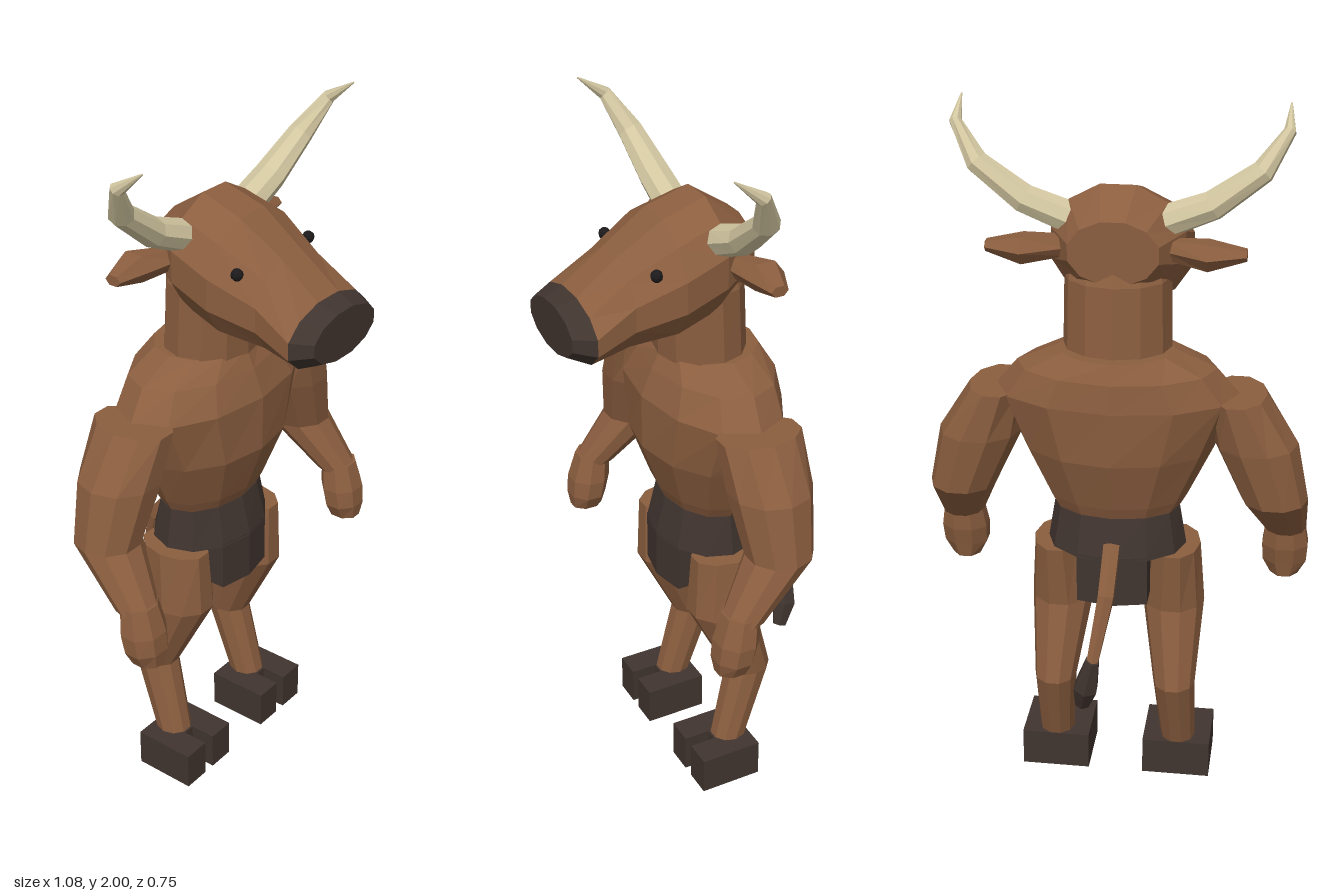
import * as THREE from 'three';

const paint = (name, color) => {
  const m = new THREE.MeshStandardMaterial({ color, flatShading: true });
  m.name = name;
  return m;
};

// Closed skin through rings [x, y, z, r1, r2]. Rings face `axis`, or follow the path when it is null.
// r1 lies along ref x axis, r2 across it; `flat` turns the ring so a face, not a corner, points up.
function loft(rings, sides, ref, axis = null, flat = false) {
  const pos = [], idx = [], n = rings.length;
  const centers = rings.map((r) => new THREE.Vector3(r[0], r[1], r[2]));
  const grow = flat ? 1 / Math.cos(Math.PI / sides) : 1;
  rings.forEach(([, , , r1, r2 = r1], i) => {
    const t = axis ? axis.clone()
      : centers[Math.min(i + 1, n - 1)].clone().sub(centers[Math.max(i - 1, 0)]).normalize();
    const u = ref.clone().cross(t).normalize();
    const v = t.clone().cross(u);
    for (let j = 0; j < sides; j++) {
      const a = ((j + (flat ? 0.5 : 0)) / sides) * Math.PI * 2;
      const p = centers[i].clone()
        .addScaledVector(u, Math.cos(a) * r1 * grow)
        .addScaledVector(v, Math.sin(a) * r2 * grow);
      pos.push(p.x, p.y, p.z);
    }
  });
  for (let i = 0; i < n - 1; i++) {
    for (let j = 0; j < sides; j++) {
      const a = i * sides + j, b = i * sides + ((j + 1) % sides);
      idx.push(a, b, b + sides, a, b + sides, a + sides);
    }
  }
  const last = (n - 1) * sides;
  for (let j = 1; j < sides - 1; j++) idx.push(0, j + 1, j, last, last + j, last + j + 1);
  const g = new THREE.BufferGeometry();
  g.setAttribute('position', new THREE.Float32BufferAttribute(pos, 3));
  g.setIndex(idx);
  const out = g.toNonIndexed();
  out.computeVertexNormals();
  return out;
}

// Upright prism from [x, z] outline points, standing on y = 0
function prism(points, height) {
  const shape = new THREE.Shape(points.map(([x, z]) => new THREE.Vector2(x, -z)));
  return new THREE.ExtrudeGeometry(shape, { depth: height, bevelEnabled: false }).rotateX(-Math.PI / 2);
}

export function createModel() {
  const fur = paint('brown fur', 0x8b5e3f);
  const dark = paint('dark hide', 0x40342f);
  const horn = paint('horn ivory', 0xd2c6a0);
  const black = paint('eye black', 0x1c1a1a);
  const X = new THREE.Vector3(1, 0, 0), Y = new THREE.Vector3(0, 1, 0), Z = new THREE.Vector3(0, 0, 1);
  const down = new THREE.Vector3(0, -1, 0);

  const model = new THREE.Group();
  model.name = 'hornedBeast';
  const add = (name, geometry, material) => {
    const mesh = new THREE.Mesh(geometry, material);
    mesh.name = name;
    model.add(mesh);
    return mesh;
  };

  // Trunk
  add('torso', loft([
    [0, 0.88, -0.07, 0.172, 0.11], [0, 0.925, -0.068, 0.198, 0.13], [0, 1.075, -0.063, 0.27, 0.18],
    [0, 1.235, -0.068, 0.34, 0.185], [0, 1.315, -0.08, 0.275, 0.165], [0, 1.365, -0.08, 0.16, 0.14],
  ], 12, Z, Y), fur);
  add('neck', loft([
    [0, 1.34, -0.06, 0.15, 0.125], [0, 1.56, -0.053, 0.145, 0.122], [0, 1.63, -0.045, 0.12, 0.1],
  ], 12, Z, Y), fur);

  // Loincloth: waist band and the hanging part between the legs
  add('waistBand', loft([[0, 0.77, -0.07, 0.198, 0.146], [0, 0.89, -0.07, 0.178, 0.117]], 12, Z, Y), dark);
  const flap = prism([
    [-0.1, 0.055], [0, 0.075], [0.1, 0.055], [0.1, -0.195], [0, -0.217], [-0.1, -0.195],
  ], 0.15);
  add('loincloth', flap, dark).position.y = 0.63;

  // Head, built from back to nose
  const nose = [0, 1.505, 0.32, 0.172, 0.09];
  add('head', loft([
    [0, 1.65, -0.16, 0.12, 0.085], [0, 1.64, -0.05, 0.18, 0.165], [0, 1.6, 0.075, 0.193, 0.165],
    [0, 1.553, 0.205, 0.158, 0.127], nose,
  ], 12, Y, Z, true), fur);
  add('muzzle', loft([nose, [0, 1.508, 0.375, 0.135, 0.066]], 12, Y, Z, true), dark);

  for (const s of [1, -1]) {
    const side = s > 0 ? 'left' : 'right';
    const mirror = (rings) => rings.map(([x, ...rest]) => [x * s, ...rest]);

    add(side + 'Horn', loft(mirror([
      [0.125, 1.71, -0.05, 0.045, 0.05], [0.25, 1.76, -0.055, 0.04, 0.048],
      [0.375, 1.85, -0.042, 0.032, 0.037], [0.438, 1.945, 0.005, 0.017, 0.02], [0.437, 2.0, 0.085, 0.002],
    ]), 8, Z), horn);

    add(side + 'Ear', loft(mirror([
      [0.13, 1.645, -0.08, 0.03, 0.03], [0.245, 1.645, -0.12, 0.056, 0.042], [0.345, 1.645, -0.105, 0.025, 0.016],
    ]), 6, Y, X.clone().multiplyScalar(s)), fur);

    add(side + 'Eye', new THREE.SphereGeometry(0.017, 8, 6), black).position.set(0.155 * s, 1.663, 0.145);

    add(side + 'Arm', loft(mirror([
      [0.33, 1.24, -0.065, 0.082, 0.122], [0.385, 1.1, -0.07, 0.117, 0.118],
      [0.442, 0.93, -0.072, 0.094, 0.095], [0.475, 0.775, 0.055, 0.06, 0.062],
    ]), 10, Z, down), fur);

    add(side + 'Hand', loft(mirror([
      [0.475, 0.795, 0.06, 0.054, 0.048], [0.476, 0.715, 0.075, 0.066, 0.058],
      [0.476, 0.66, 0.084, 0.063, 0.054], [0.476, 0.615, 0.086, 0.04, 0.046],
    ]), 8, Z, down, true), fur);

    add(side + 'Leg', loft(mirror([
      [0.167, 0.77, -0.065, 0.072, 0.108], [0.162, 0.58, -0.05, 0.09, 0.1],
      [0.175, 0.345, -0.138, 0.061, 0.068], [0.184, 0.1, -0.068, 0.051, 0.053],
    ]), 10, Z, down), fur);

    // Cloven hoof with a notch at the front
    const hoof = prism([
      [-0.1, 0.063], [-0.018, 0.063], [-0.018, -0.015], [0.018, -0.015], [0.018, 0.063],
      [0.1, 0.063], [0.1, -0.125], [-0.1, -0.125],
    ], 0.115);
    add(side + 'Hoof', hoof, dark).position.x = 0.182 * s;
  }

  // Tail with a dark tuft
  add('tail', loft([
    [0, 0.81, -0.19, 0.026], [0.004, 0.7, -0.285, 0.025], [0.035, 0.52, -0.348, 0.018],
  ], 6, X), fur);
  add('tailTuft', loft([
    [0.034, 0.53, -0.35, 0.021], [0.056, 0.43, -0.335, 0.037], [0.07, 0.36, -0.312, 0.022],
  ], 6, X), dark);

  return model;
}
